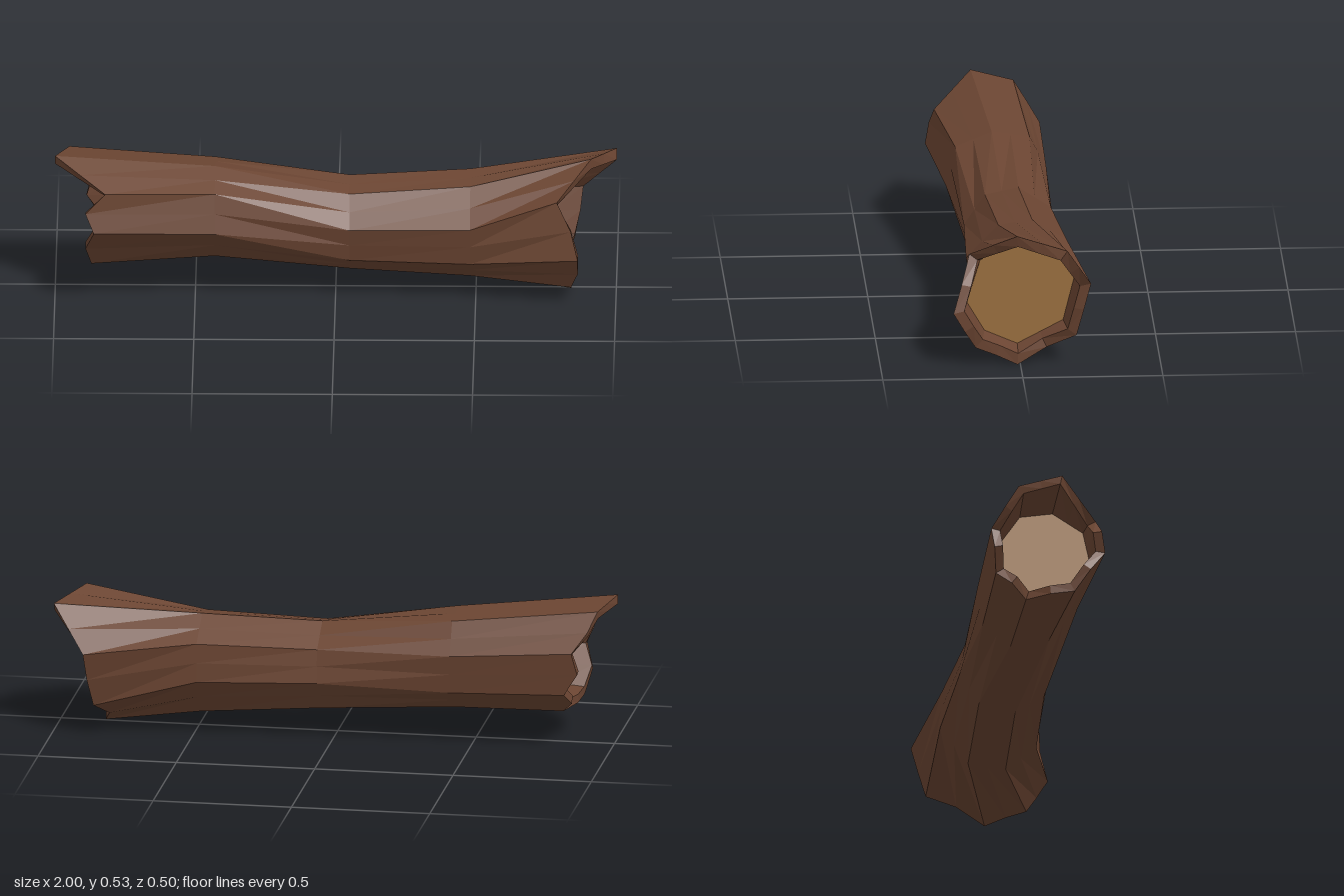
import * as THREE from 'three';

// Eight corners per section as [z, y], running top -> back -> bottom -> front
const sections = [
  [[.08, .53], [-.07, .505], [-.16, .37], [-.14, .21], [-.03, .12], [.14, .14], [.25, .3], [.22, .44]],
  [[.035, .475], [-.1, .455], [-.16, .34], [-.14, .2], [-.04, .12], [.1, .155], [.2, .28], [.165, .42]],
  [[.085, .39], [-.035, .415], [-.15, .34], [-.17, .22], [-.1, .11], [.03, .08], [.135, .155], [.16, .28]],
  [[.06, .41], [-.06, .43], [-.185, .35], [-.19, .21], [-.09, .075], [.045, .06], [.155, .15], [.175, .29]],
  [[.015, .5], [-.16, .47], [-.25, .31], [-.2, .11], [.01, 0], [.16, .065], [.24, .2], [.18, .4]],
];
const stations = [0, -.43, .05, .48, 0];

// Ragged end positions for every corner and edge midpoint
const leftEnd = [-1, -.975, -.95, -.92, -.87, -.89, -.84, -.86, -.82, -.86, -.87, -.89, -.86, -.89, -.82, -.91];
const rightEnd = [.91, .955, 1, .94, .88, .87, .85, .81, .84, .83, .84, .865, .865, .84, .79, .85];
const N = 16;

// Section with midpoints inserted, scaled about its centre, placed at x
function ring(corners, xAt, scale = 1) {
  const cz = corners.reduce((s, p) => s + p[0], 0) / 8;
  const cy = corners.reduce((s, p) => s + p[1], 0) / 8;
  return Array.from({ length: N }, (_, j) => {
    const a = corners[j >> 1], b = corners[((j + 1) >> 1) % 8];
    const z = (a[0] + b[0]) / 2, y = (a[1] + b[1]) / 2;
    return new THREE.Vector3(xAt(j), cy + (y - cy) * scale, cz + (z - cz) * scale);
  });
}

function facetMesh(points, color, name) {
  const geometry = new THREE.BufferGeometry().setFromPoints(points);
  geometry.computeVertexNormals();
  const mesh = new THREE.Mesh(geometry, new THREE.MeshStandardMaterial({ color, flatShading: true }));
  mesh.name = name;
  return mesh;
}

// Skin joining successive rings
function loft(rings) {
  const out = [];
  for (let i = 0; i < rings.length - 1; i++) {
    for (let j = 0; j < N; j++) {
      const k = (j + 1) % N;
      const a = rings[i][j], b = rings[i + 1][j], c = rings[i + 1][k], d = rings[i][k];
      out.push(a, b, c, a, c, d);
    }
  }
  return out;
}

// Flat fan closing a ring
function fan(points, facesRight) {
  const centre = points.reduce((s, p) => s.add(p), new THREE.Vector3()).divideScalar(N);
  return points.flatMap((p, j) => {
    const q = points[(j + 1) % N];
    return facesRight ? [centre, q, p] : [centre, p, q];
  });
}

export function createModel() {
  const group = new THREE.Group();
  group.name = 'log';

  const left = sections[0], right = sections[4];
  const leftX = j => leftEnd[j], rightX = j => rightEnd[j];
  const leftCap = ring(left, () => -.77, .78);
  const rightCap = ring(right, () => .765, .78);

  // Bark folds over each ragged rim and runs in to the recessed wood
  group.add(facetMesh(loft([
    leftCap,
    ring(left, leftX, .84),
    ring(left, leftX),
    ...[1, 2, 3].map(i => ring(sections[i], () => stations[i])),
    ring(right, rightX),
    ring(right, rightX, .84),
    rightCap,
  ]), 0x6b4532, 'bark'));

  // Cut wood at both ends
  group.add(facetMesh(fan(leftCap, false), 0x9a6f3f, 'rightCutWood'));
  group.add(facetMesh(fan(rightCap, true), 0x9a6f3f, 'leftCutWood'));
  return group;
}
